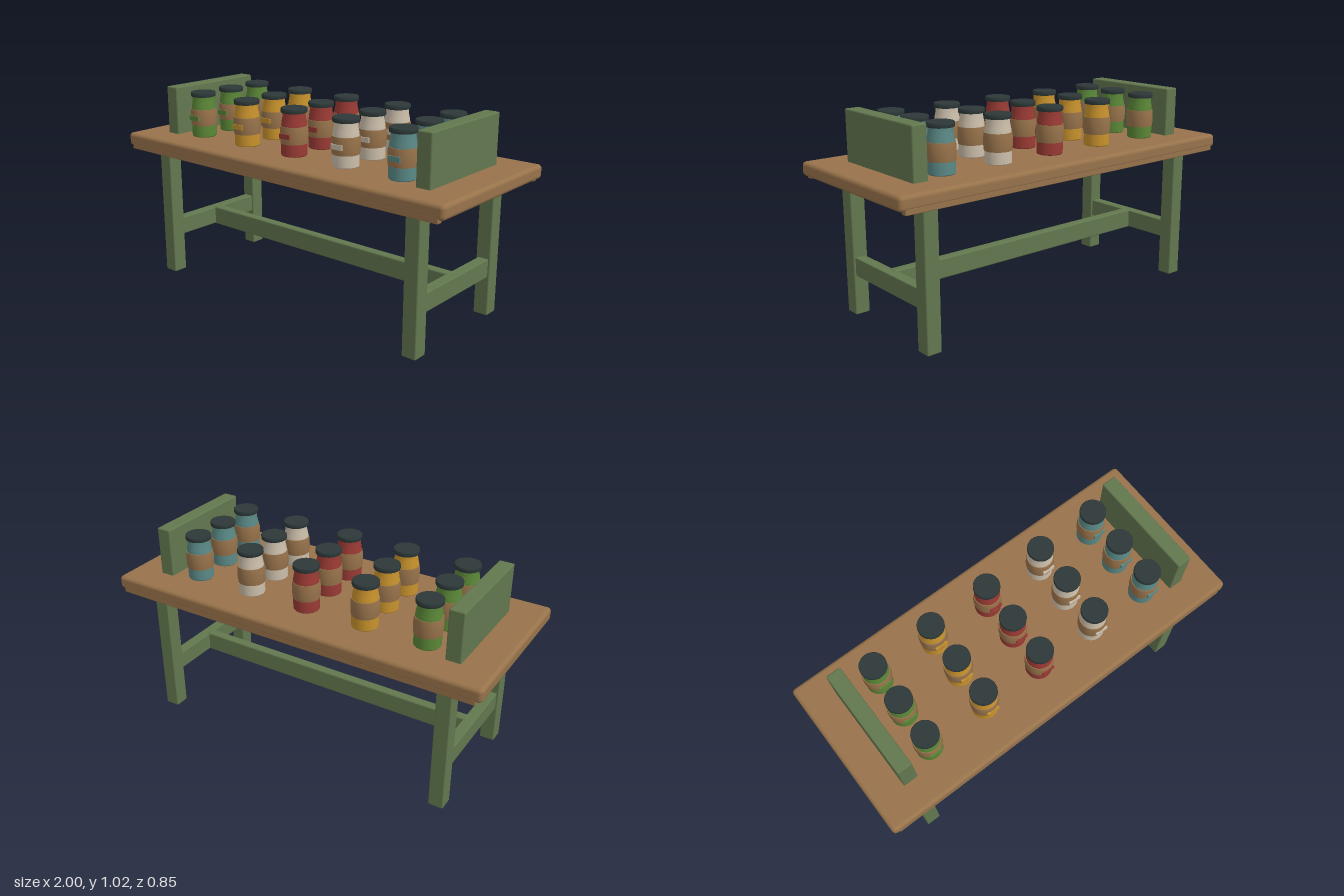
import * as THREE from 'three';
import { RoundedBoxGeometry } from 'three/addons/geometries/RoundedBoxGeometry.js';
import { toCreasedNormals } from 'three/addons/utils/BufferGeometryUtils.js';

const material = (name, color) => {
  const m = new THREE.MeshStandardMaterial({ color });
  m.name = name;
  return m;
};

export function createModel() {
  const model = new THREE.Group();
  model.name = 'paintTable';

  const wood = material('wood', 0x98734b);
  const green = material('framePaint', 0x62774e);
  const lidDark = material('lidDark', 0x2d3838);
  const paints = [
    material('paintGreen', 0x5a8737),
    material('paintYellow', 0xc8922c),
    material('paintRed', 0x9a3a34),
    material('paintCream', 0xccbfab),
    material('paintTeal', 0x5a8986),
  ];

  const add = (parent, name, geometry, mat, x = 0, y = 0, z = 0) => {
    const mesh = new THREE.Mesh(geometry, mat);
    mesh.name = name;
    mesh.position.set(x, y, z);
    parent.add(mesh);
    return mesh;
  };
  const box = (name, w, h, d, r, mat, x, y, z) =>
    add(model, name, new RoundedBoxGeometry(w, h, d, 2, r), mat, x, y, z);

  // Table top with an edge strip under each long side
  box('tableTop', 2, 0.07, 0.845, 0.02, wood, 0, 0.733, 0);
  for (const s of [-1, 1]) box('edgeStrip', 1.945, 0.03, 0.032, 0.005, wood, 0, 0.698, s * 0.405);

  // End frames: legs, side rail and raised end panel
  for (const sx of [-1, 1]) {
    for (const sz of [-1, 1]) box('leg', 0.076, 0.71, 0.078, 0.006, green, sx * 0.8, 0.355, sz * 0.307);
    box('sideRail', 0.056, 0.094, 0.56, 0.005, green, sx * 0.8, 0.247, 0);
    box('endPanel', 0.076, 0.265, 0.556, 0.007, green, sx * 0.8, 0.885, 0);
  }
  box('stretcher', 1.58, 0.102, 0.05, 0.008, green, 0, 0.247, 0);

  // Shared jar geometry, turned around y
  const lathe = (pts) => toCreasedNormals(
    new THREE.LatheGeometry(pts.map(([r, y]) => new THREE.Vector2(r, y)), 32), 0.6);
  const body = lathe([[0, 0], [0.06, 0], [0.064, 0.005], [0.064, 0.13], [0.061, 0.165], [0.056, 0.19], [0.056, 0.218], [0, 0.218]]);
  const label = lathe([[0.062, 0.062], [0.066, 0.062], [0.0685, 0.085], [0.0685, 0.125], [0.066, 0.147], [0.06, 0.147]]);
  const lid = lathe([[0, 0.212], [0.063, 0.212], [0.064, 0.215], [0.064, 0.231], [0.062, 0.234], [0, 0.234]]);
  const swatch = new THREE.BoxGeometry(0.064, 0.024, 0.009);

  // Three rows of jars, one colour per column
  paints.forEach((paint, i) => {
    for (const z of [-0.2, 0, 0.2]) {
      const jar = new THREE.Group();
      jar.name = 'jar';
      jar.position.set((i - 2) * 0.32, 0.767, z);
      add(jar, 'jarBody', body, paint);
      add(jar, 'jarLabel', label, wood);
      add(jar, 'jarLid', lid, lidDark);
      add(jar, 'labelSwatch', swatch, paint, 0, 0.102, 0.068);
      model.add(jar);
    }
  });

  return model;
}
